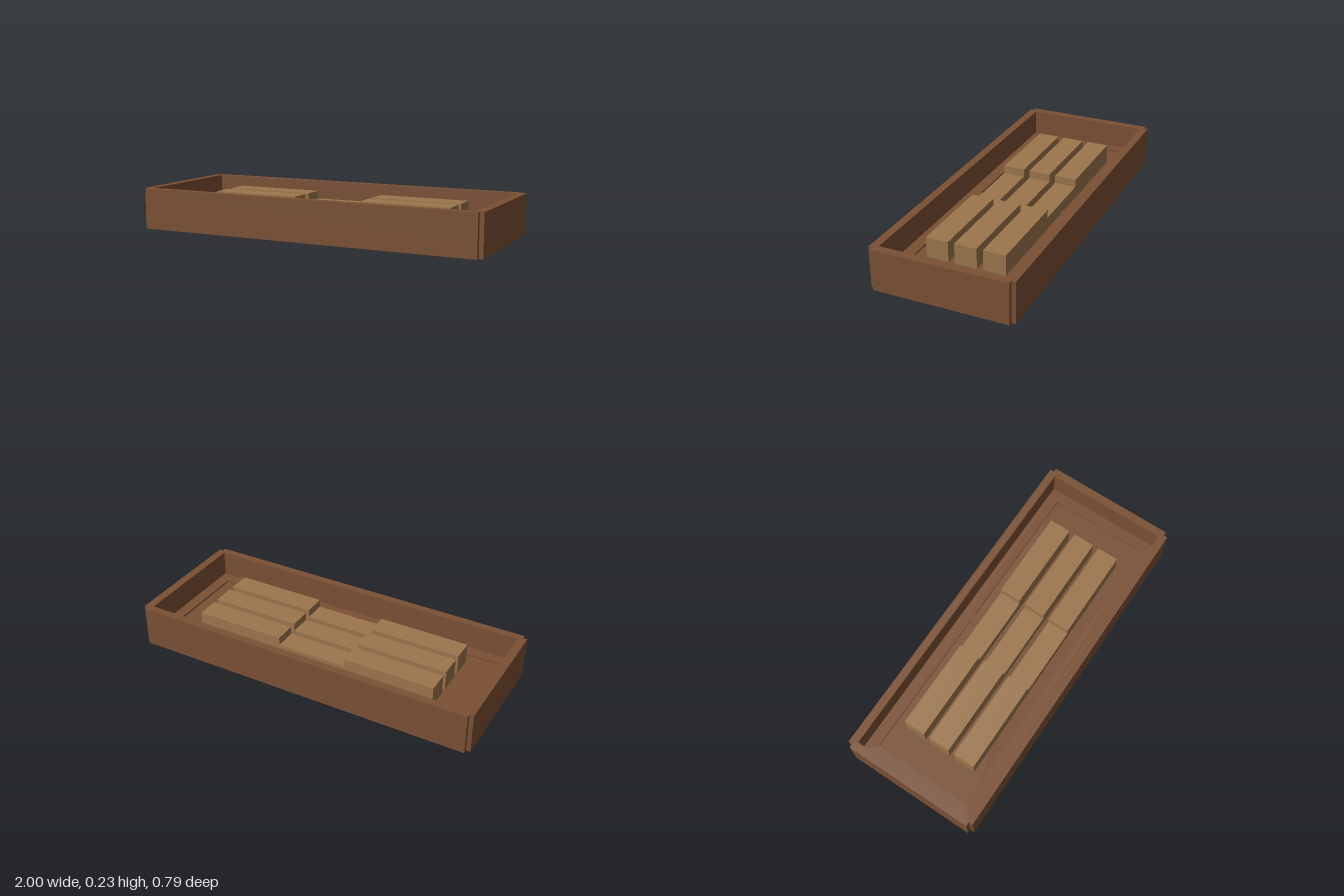
import * as THREE from 'three';

const wood = new THREE.MeshStandardMaterial({ color: 0x7a5034 });
wood.name = 'brown wood';
const paleWood = new THREE.MeshStandardMaterial({ color: 0x9c764c });
paleWood.name = 'pale wood';

const HX = 1, HZ = 0.395, NOTCH = 0.023, HEIGHT = 0.23;

function rectangle(Type, x0, x1, y0, y1) {
  const p = new Type();
  p.moveTo(x0, y0);
  p.lineTo(x1, y0);
  p.lineTo(x1, y1);
  p.lineTo(x0, y1);
  p.closePath();
  return p;
}

// Rectangle with a small square step cut from each corner
function notchedOutline() {
  const a = HX - NOTCH, b = HZ - NOTCH;
  return new THREE.Shape([
    [-a, -HZ], [a, -HZ], [a, -b], [HX, -b], [HX, b], [a, b],
    [a, HZ], [-a, HZ], [-a, b], [-HX, b], [-HX, -b], [-a, -b],
  ].map(([x, y]) => new THREE.Vector2(x, y)));
}

// Flat shape lying in the ground plane, raised from y0 to y1
function slab(name, shape, y0, y1) {
  const geometry = new THREE.ExtrudeGeometry(shape, { depth: y1 - y0, bevelEnabled: false });
  geometry.rotateX(-Math.PI / 2);
  geometry.translate(0, y0, 0);
  const mesh = new THREE.Mesh(geometry, wood);
  mesh.name = name;
  return mesh;
}

export function createModel() {
  const group = new THREE.Group();
  group.name = 'tray';

  // Base and surrounding walls
  const base = 0.075;
  group.add(slab('base', notchedOutline(), 0, base));
  const walls = notchedOutline();
  walls.holes.push(rectangle(THREE.Path, -0.953, 0.953, -0.35, 0.35));
  group.add(slab('walls', walls, base, HEIGHT));

  // Inner frame with a crossbar, leaving two shallow recesses
  const frame = rectangle(THREE.Shape, -0.953, 0.953, -0.35, 0.35);
  frame.holes.push(rectangle(THREE.Path, -0.89, -0.028, -0.285, 0.285));
  frame.holes.push(rectangle(THREE.Path, 0.028, 0.89, -0.285, 0.285));
  group.add(slab('innerFrame', frame, base, 0.085));

  // Three rows of blocks, lower in the middle
  const blocks = [
    { name: 'leftBlock', x: 0.46, width: 0.52, top: 0.19 },
    { name: 'middleBlock', x: 0, width: 0.4, top: 0.145 },
    { name: 'rightBlock', x: -0.46, width: 0.52, top: 0.19 },
  ];
  for (const z of [-0.16, 0, 0.16]) {
    for (const { name, x, width, top } of blocks) {
      const block = new THREE.Mesh(new THREE.BoxGeometry(width, top - base, 0.125), paleWood);
      block.name = name;
      block.position.set(x, (top + base) / 2, z);
      group.add(block);
    }
  }
  return group;
}
